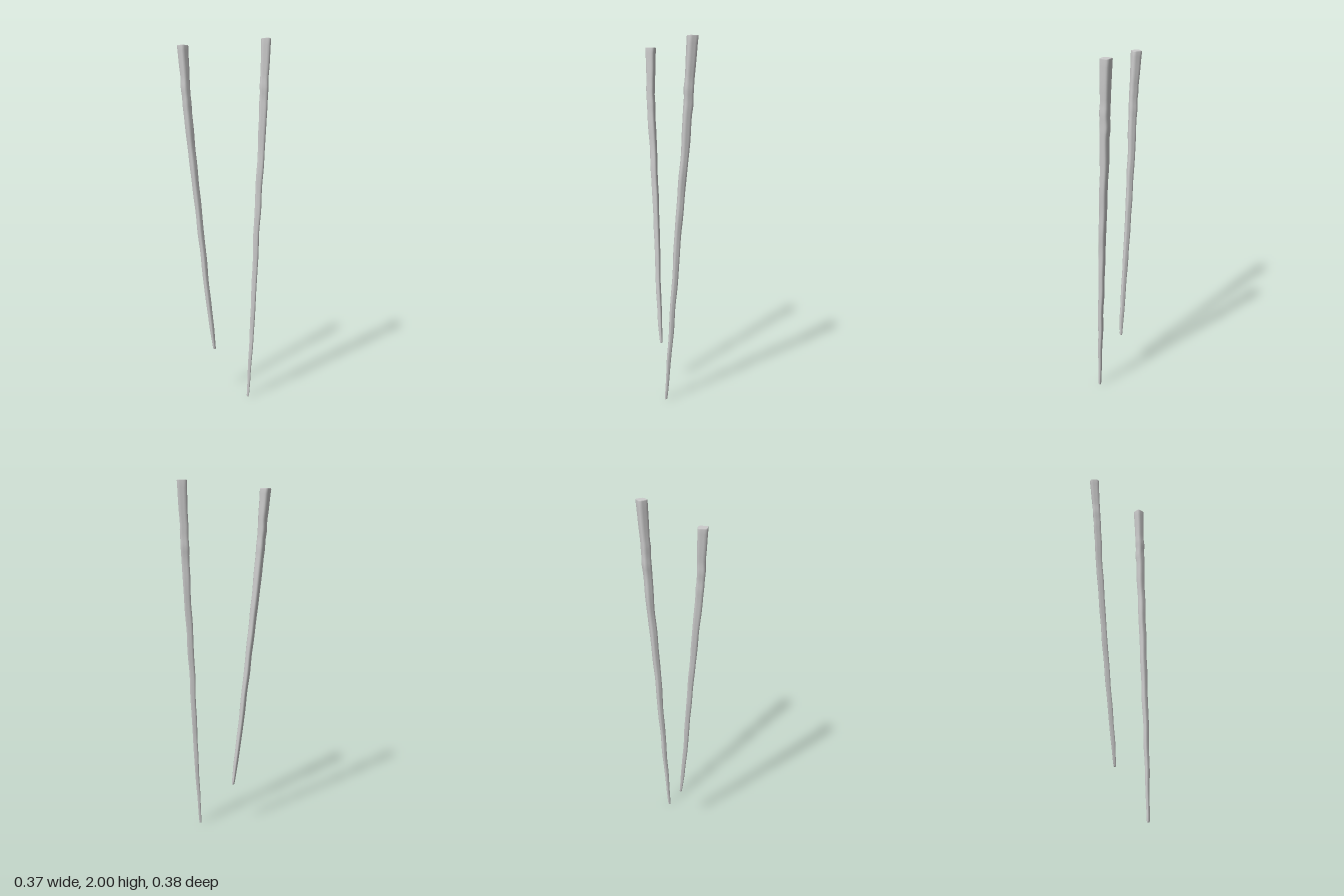
import * as THREE from 'three';

const SIDES = 20, RINGS = 56;

// Loft a rounded-square section along hand-set stations [y, x, z, side]
function makeStick(name, stations, turn, phase, wobble) {
  const centre = new THREE.CatmullRomCurve3(stations.map(s => new THREE.Vector3(s[1], s[0], s[2])));
  const sizes = new THREE.CatmullRomCurve3(stations.map(s => new THREE.Vector3(s[3], s[0], 0)));
  const rings = [];
  for (let i = 0; i <= RINGS; i++) {
    const t = i / RINGS, p = centre.getPoint(t);
    // gentle carved unevenness that fades out at both ends
    const fade = Math.min(1, 8 * t, 8 * (1 - t));
    p.x += fade * wobble * Math.sin(41 * t + phase);
    p.z += fade * wobble * Math.sin(53 * t + 2 * phase);
    const side = sizes.getPoint(t).x * (1 + fade * 0.03 * Math.sin(67 * t + phase));
    rings.push({ p, side });
  }
  // softened rims at the tip and the butt
  const first = rings[0], last = rings[RINGS];
  rings.unshift({ p: first.p.clone(), side: first.side * 0.7 });
  first.p.y += 0.006;
  rings.push({ p: last.p.clone(), side: last.side * 0.92 });
  last.p.y -= 0.004;

  const pos = [], index = [];
  const addRing = ({ p, side }) => {
    for (let j = 0; j < SIDES; j++) {
      const a = (j / SIDES) * Math.PI * 2, c = Math.cos(a), s = Math.sin(a);
      const r = (side / 2) / Math.pow(c ** 6 + s ** 6, 1 / 6);
      pos.push(p.x + r * Math.cos(a + turn), p.y, p.z + r * Math.sin(a + turn));
    }
  };
  rings.forEach(addRing);
  for (let i = 0; i < rings.length - 1; i++) {
    for (let j = 0; j < SIDES; j++) {
      const k = (j + 1) % SIDES;
      const a = i * SIDES + j, b = i * SIDES + k, c = a + SIDES, d = b + SIDES;
      index.push(a, c, b, b, c, d);
    }
  }
  // flat end caps with their own vertices, so the rims stay sharp
  for (const [ring, up] of [[rings[0], false], [rings[rings.length - 1], true]]) {
    const start = pos.length / 3, mid = start + SIDES;
    addRing(ring);
    pos.push(ring.p.x, ring.p.y, ring.p.z);
    for (let j = 0; j < SIDES; j++) {
      const a = start + j, b = start + (j + 1) % SIDES;
      if (up) index.push(mid, b, a); else index.push(mid, a, b);
    }
  }
  const geo = new THREE.BufferGeometry();
  geo.setAttribute('position', new THREE.Float32BufferAttribute(pos, 3));
  geo.setIndex(index);
  geo.computeVertexNormals();
  const mesh = new THREE.Mesh(geo, new THREE.MeshStandardMaterial({ color: 0xcccccc }));
  mesh.name = name;
  return mesh;
}

export function createModel() {
  const group = new THREE.Group();
  group.name = 'chopsticks';
  group.add(
    makeStick('leftChopstick', [
      [0, 0.012, 0.157, 0.013], [0.2, 0.027, 0.159, 0.019], [0.4, 0.042, 0.161, 0.024],
      [0.6, 0.056, 0.161, 0.027], [0.8, 0.070, 0.160, 0.030], [1.0, 0.082, 0.160, 0.033],
      [1.2, 0.099, 0.160, 0.036], [1.4, 0.116, 0.160, 0.038], [1.6, 0.130, 0.160, 0.043],
      [1.7, 0.135, 0.160, 0.045], [1.8, 0.141, 0.160, 0.045], [2.0, 0.154, 0.159, 0.052],
    ], -0.56, 0.6, 0.0012),
    makeStick('rightChopstick', [
      [0.26, -0.067, -0.026, 0.013], [0.4, -0.078, -0.038, 0.022], [0.6, -0.092, -0.058, 0.025],
      [0.8, -0.102, -0.076, 0.028], [1.0, -0.113, -0.094, 0.030], [1.2, -0.126, -0.110, 0.033],
      [1.4, -0.139, -0.127, 0.036], [1.6, -0.153, -0.140, 0.040], [1.7, -0.159, -0.147, 0.041],
      [1.8, -0.160, -0.154, 0.043], [1.96, -0.163, -0.166, 0.051],
    ], 0.08, 2.1, 0.0007),
  );
  return group;
}
